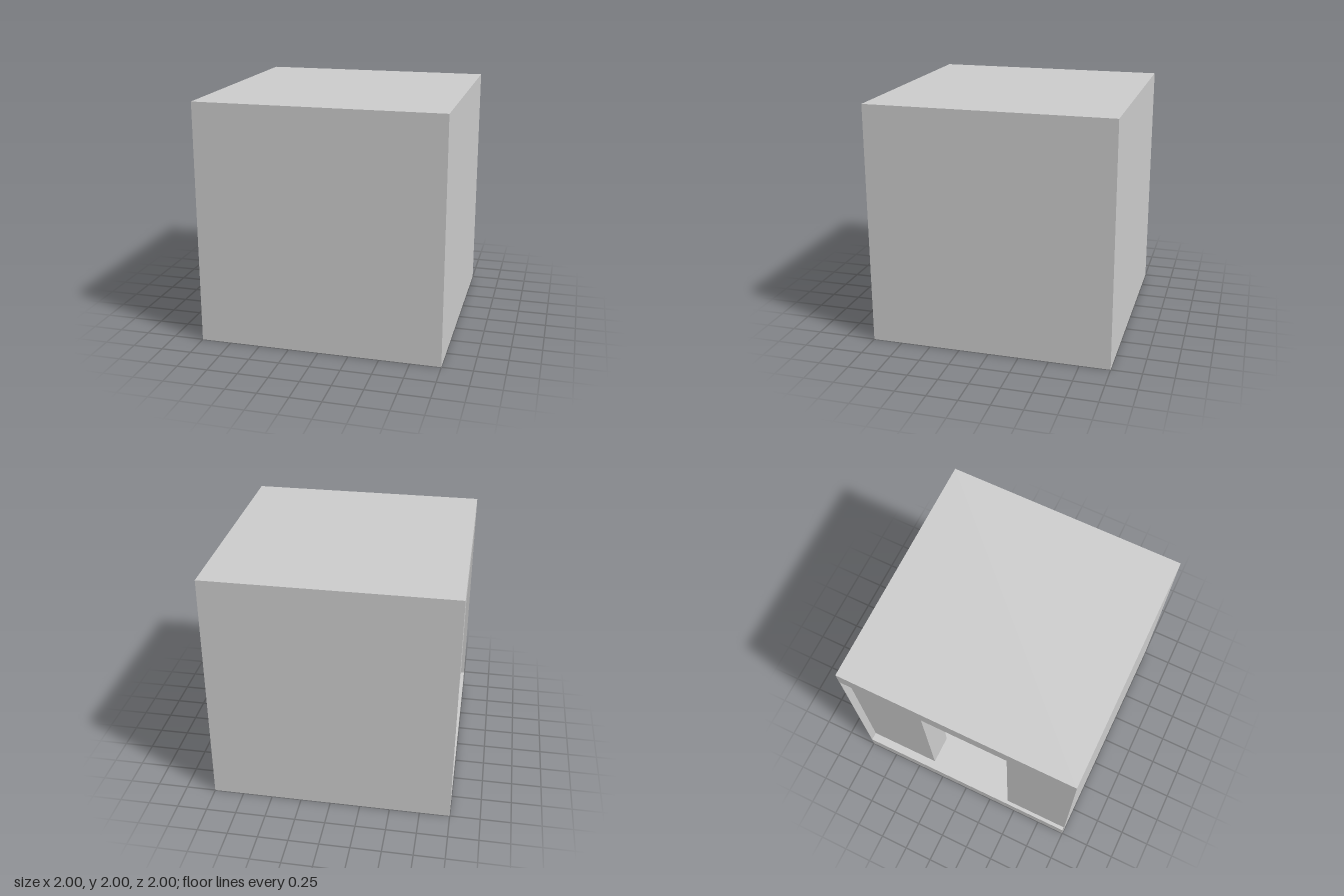
import * as THREE from 'three';

const FLOOR = 0.15, CEILING = 1.84, SKIN = 0.006;

export function createModel() {
  const model = new THREE.Group();
  model.name = 'cabin';
  const material = new THREE.MeshStandardMaterial({ color: 0xcccccc, flatShading: true });

  // Box given by its extents along each axis
  function block(name, [x0, x1], [y0, y1], [z0, z1]) {
    const mesh = new THREE.Mesh(new THREE.BoxGeometry(x1 - x0, y1 - y0, z1 - z0), material);
    mesh.position.set((x0 + x1) / 2, (y0 + y1) / 2, (z0 + z1) / 2);
    mesh.name = name;
    model.add(mesh);
  }
  const span = (side, a, b) => (side > 0 ? [a, b] : [-b, -a]);
  const room = [FLOOR, CEILING];

  // Floor and roof slabs, closed wall opposite the doorway
  block('floor', [-1, 1], [0, FLOOR], [-1, 1]);
  block('roof', [-1, 1], [CEILING, 2], [-1, 1]);
  block('endWall', [0.85, 1], room, [-1, 1]);

  // Each side: thin outer skin, thick wall, lining, doorway panel and jamb
  const sides = [
    { side: 1, name: 'front', panelX: -0.97, edge: 0.42 },
    { side: -1, name: 'back', panelX: -0.93, edge: 0.36 },
  ];
  for (const { side, name, panelX, edge } of sides) {
    const inner = panelX + 0.1;
    const jambEnd = inner + 0.145;
    block(name + 'Skin', [-1, 0.85], room, span(side, 1 - SKIN, 1));
    block(name + 'DoorPanel', [panelX, inner], room, span(side, edge, 1 - SKIN));
    block(name + 'DoorJamb', [inner, jambEnd], room, span(side, edge, 1 - SKIN));
    block(name + 'Wall', [jambEnd, 0.85], room, span(side, 0.85, 1 - SKIN));
    block(name + 'Lining', [-0.19, 0.85], room, span(side, 0.83, 0.85));
  }
  return model;
}
